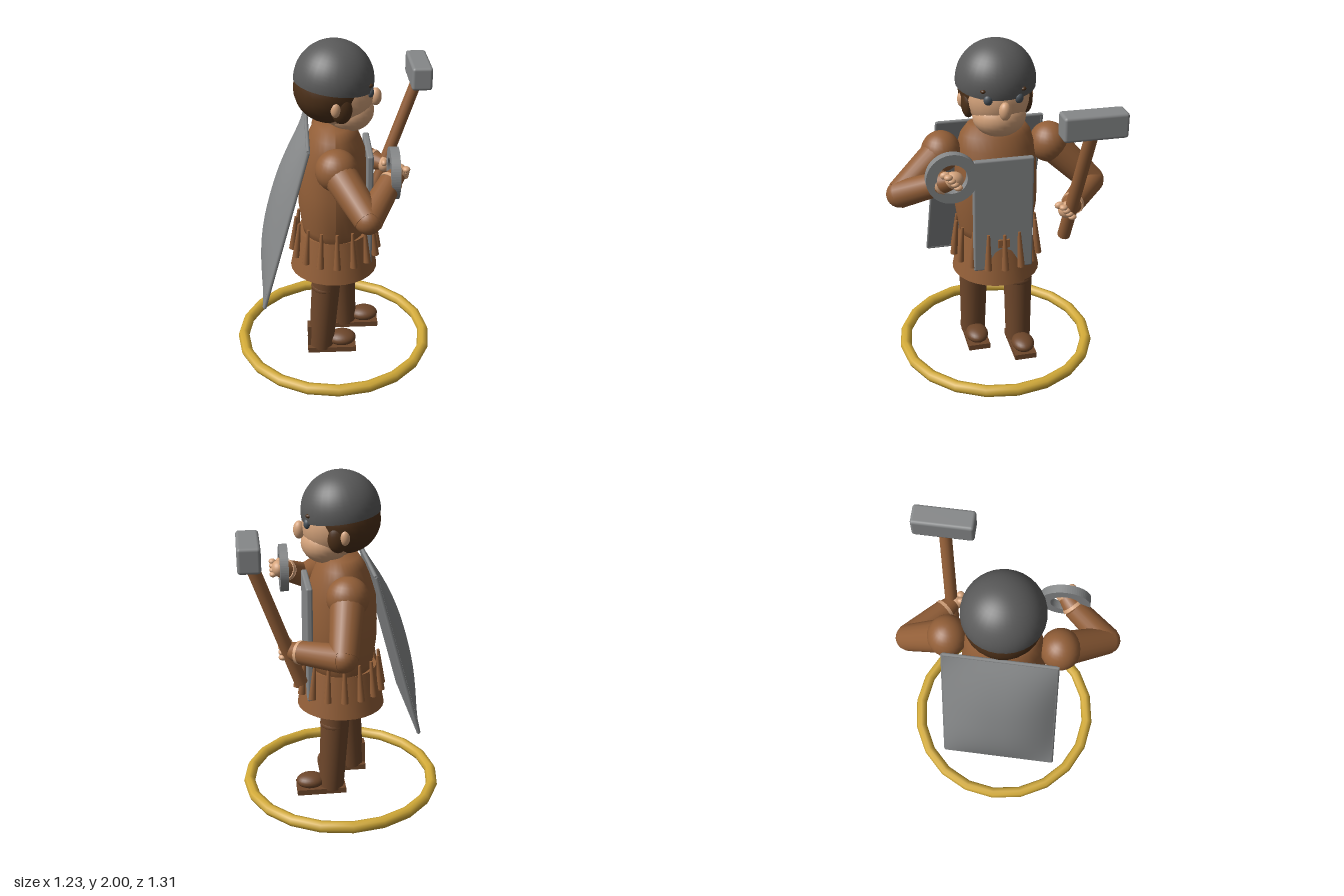
import * as THREE from 'three';
import { RoundedBoxGeometry } from 'three/addons/geometries/RoundedBoxGeometry.js';

const paint = (name, color, side = THREE.FrontSide) => {
  const m = new THREE.MeshStandardMaterial({ color, side });
  m.name = name;
  return m;
};
const V = (a) => new THREE.Vector3(...a);

export function createModel() {
  const leather = paint('leather', 0x935f38);
  const darkLeather = paint('darkLeather', 0x6e472b);
  const hairBrown = paint('hairBrown', 0x4c3019);
  const skin = paint('skin', 0xd6a47c);
  const steel = paint('steel', 0x868889);
  const darkSteel = paint('darkSteel', 0x5a5a5a, THREE.DoubleSide);
  const eyeGrey = paint('eyeGrey', 0x4b545c);
  const gold = paint('gold', 0xd2aa38);

  const model = new THREE.Group();
  model.name = 'hammerWarrior';

  const add = (name, geo, mat, pos = [0, 0, 0], parent = model) => {
    const m = new THREE.Mesh(geo, mat);
    m.name = name;
    m.position.set(...pos);
    parent.add(m);
    return m;
  };
  const ball = (name, mat, pos, radii) => {
    const m = add(name, new THREE.SphereGeometry(1, 24, 16), mat, pos);
    m.scale.set(...radii);
    return m;
  };
  // Tapered cylinder running from point a to point b
  const limb = (name, mat, a, b, ra, rb, sides = 20) => {
    const d = V(b).sub(V(a));
    const m = add(name, new THREE.CylinderGeometry(rb, ra, d.length(), sides), mat);
    m.position.copy(V(a).addScaledVector(d, 0.5));
    m.quaternion.setFromUnitVectors(new THREE.Vector3(0, 1, 0), d.normalize());
    return m;
  };

  // Base ring
  add('baseRing', new THREE.TorusGeometry(0.58, 0.035, 8, 20), gold, [0, 0.037, 0]).rotation.x = Math.PI / 2;

  // Legs and shoes, right foot a step ahead
  for (const [side, s, hipX, ankleX] of [['left', 1, -0.045, -0.085], ['right', -1, 0.045, 0.075]]) {
    const z = 0.13 * s;
    limb(side + 'Leg', darkLeather, [ankleX, 0.05, z], [hipX, 0.62, z], 0.077, 0.09);
    ball(side + 'Knee', darkLeather, [hipX * 0.7 + ankleX * 0.3, 0.49, z], [0.088, 0.05, 0.088]);
    add(side + 'Sole', new THREE.BoxGeometry(0.3, 0.035, 0.135), darkLeather, [ankleX + 0.065, 0.045, z]);
    ball(side + 'Toe', darkLeather, [ankleX + 0.13, 0.095, z], [0.088, 0.045, 0.07]);
  }
  add('heelGuard', new THREE.BoxGeometry(0.03, 0.15, 0.07), darkLeather, [-0.155, 0.125, 0.13]);

  // Torso: oval barrel, flatter front to back at the collar
  const profile = [[0, 0.78], [0.205, 0.78], [0.225, 0.87], [0.245, 1.0], [0.247, 1.12], [0.238, 1.28],
    [0.225, 1.39], [0.205, 1.46], [0.165, 1.515], [0, 1.515]].map(p => new THREE.Vector2(...p));
  const torso = new THREE.LatheGeometry(profile, 32);
  const tp = torso.attributes.position;
  for (let i = 0; i < tp.count; i++) {
    const y = tp.getY(i);
    tp.setX(i, tp.getX(i) * (0.86 - Math.max(0, y - 1.28) * 1.0));
  }
  torso.computeVertexNormals();
  add('torso', torso, leather);

  // Skirt with a fringe of tapered tassels
  add('skirt', new THREE.CylinderGeometry(0.215, 0.265, 0.255, 28), leather, [0, 0.6975, 0]);
  for (let i = 0; i < 16; i++) {
    const a = i * Math.PI / 8, c = Math.cos(a), s = Math.sin(a);
    limb('tassel', leather, [0.008 + 0.26 * c, 0.68, 0.26 * s], [0.008 + 0.235 * c, 0.9, 0.24 * s], 0.023, 0.009, 10);
  }

  // Chest plate and buckle
  add('chestPlate', new RoundedBoxGeometry(0.038, 0.71, 0.355, 2, 0.012), steel, [0.2, 1.015, 0]);
  add('buckle', new THREE.BoxGeometry(0.02, 0.05, 0.07), leather, [0.222, 0.835, 0]);

  // Head
  ball('hair', hairBrown, [-0.022, 1.725, 0], [0.207, 0.2, 0.212]);
  ball('face', skin, [0.045, 1.69, 0], [0.18, 0.19, 0.18]);
  ball('jaw', skin, [0.09, 1.587, 0], [0.14, 0.117, 0.152]);
  ball('nose', skin, [0.238, 1.665, 0], [0.034, 0.052, 0.034]);
  for (const s of [1, -1]) {
    ball('sideburn', hairBrown, [0.035, 1.655, 0.165 * s], [0.06, 0.085, 0.04]);
    ball('ear', skin, [0.0, 1.665, 0.195 * s], [0.028, 0.045, 0.025]);
    ball('eye', eyeGrey, [0.198, 1.722, 0.085 * s], [0.022, 0.03, 0.026]);
    ball('brow', hairBrown, [0.19, 1.772, 0.112 * s], [0.02, 0.012, 0.016]);
  }
  // Helmet cap, tipped forward
  const helmet = add('helmet', new THREE.SphereGeometry(0.228, 32, 16, 0, Math.PI * 2, 0, Math.PI * 0.53),
    darkSteel, [0, 1.772, 0]);
  helmet.rotation.z = -0.13;

  // Arms: shoulder, elbow, wrist, hand
  const arms = {
    left: [[0, 1.36, 0.32], [0.155, 1.19, 0.585], [0.29, 1.3, 0.37], [0.345, 1.335, 0.31]],
    right: [[0, 1.36, -0.32], [0.055, 1.11, -0.575], [0.265, 1.08, -0.4], [0.335, 1.075, -0.345]],
  };
  for (const [side, [shoulder, elbow, wrist, hand]] of Object.entries(arms)) {
    ball(side + 'Shoulder', leather, shoulder, [0.12, 0.12, 0.115]);
    limb(side + 'UpperArm', leather, shoulder, elbow, 0.1, 0.08);
    ball(side + 'Elbow', leather, elbow, [0.077, 0.077, 0.077]);
    limb(side + 'Forearm', leather, elbow, wrist, 0.08, 0.066);
    const dir = V(hand).sub(V(wrist)).normalize();
    const cuffEnd = V(wrist).addScaledVector(dir, 0.02).toArray();
    limb(side + 'WristBand', skin, wrist, cuffEnd, 0.068, 0.066);
    limb(side + 'Wrist', leather, cuffEnd, hand, 0.06, 0.045);
    ball(side + 'Palm', skin, hand, [0.045, 0.05, 0.055]);
    // Curled fingers across the knuckles
    for (let i = 0; i < 4; i++) {
      ball(side + 'Finger', skin, [hand[0] + 0.035, hand[1] + 0.035 - i * 0.022, hand[2] + 0.035 - i * 0.018],
        [0.022, 0.017, 0.024]);
    }
    ball(side + 'Thumb', skin, [hand[0] - 0.005, hand[1] + 0.03, hand[2] + 0.045], [0.02, 0.022, 0.03]);
  }

  // Hand guard: a flat ring round the left fist
  const disc = new THREE.Shape().absarc(0, 0, 0.145, 0, Math.PI * 2, false);
  disc.holes.push(new THREE.Path().absarc(0, 0, 0.085, 0, Math.PI * 2, true));
  const guard = new THREE.ExtrudeGeometry(disc, { depth: 0.05, bevelEnabled: false, curveSegments: 32 });
  add('handGuard', guard, steel, [0.29, 1.337, 0.316]).rotation.y = Math.PI / 2;

  // Hammer
  limb('hammerHandle', leather, [0.268, 0.875, -0.35], [0.535, 1.63, -0.4], 0.038, 0.036, 16);
  add('hammerHead', new RoundedBoxGeometry(0.123, 0.14, 0.354, 2, 0.018), steel, [0.537, 1.672, -0.403]);

  // Back shield: bulged sheet over a flat plate, v runs upward and u across
  const corners = [[-0.425, 0.49, -0.318], [-0.425, 0.49, 0.357], [-0.155, 1.47, -0.318], [-0.155, 1.47, 0.315]].map(V);
  const out = new THREE.Vector3(-0.964, 0.266, 0);
  const N = 16, verts = [], idx = [];
  const swell = (t) => 1 - Math.abs(2 * t - 1) ** 2.4;
  for (const back of [1, 0]) {
    const base = verts.length / 3;
    for (let j = 0; j <= N; j++) for (let i = 0; i <= N; i++) {
      const u = i / N, v = j / N;
      const p = corners[0].clone().lerp(corners[1], u).lerp(corners[2].clone().lerp(corners[3], u), v);
      p.addScaledVector(out, back ? 0.012 + 0.09 * swell(u) * swell(v) : -0.008);
      verts.push(p.x, p.y, p.z);
    }
    for (let j = 0; j < N; j++) for (let i = 0; i < N; i++) {
      const a = base + j * (N + 1) + i, b = a + 1, c = a + N + 1, d = c + 1;
      if (back) idx.push(a, b, d, a, d, c);
      else idx.push(a, d, b, a, c, d);
    }
  }
  const shield = new THREE.BufferGeometry();
  shield.setAttribute('position', new THREE.Float32BufferAttribute(verts, 3));
  shield.setIndex(idx);
  shield.computeVertexNormals();
  const shieldSteel = paint('shieldSteel', 0x868889, THREE.DoubleSide);
  add('backShield', shield, shieldSteel);
  // Shield rim closing the edges
  const rim = [0, 1, 3, 2].map(k => corners[k].toArray());
  rim.forEach((p, k) => limb('shieldRim', steel, p, rim[(k + 1) % 4], 0.011, 0.011, 8));

  return model;
}
